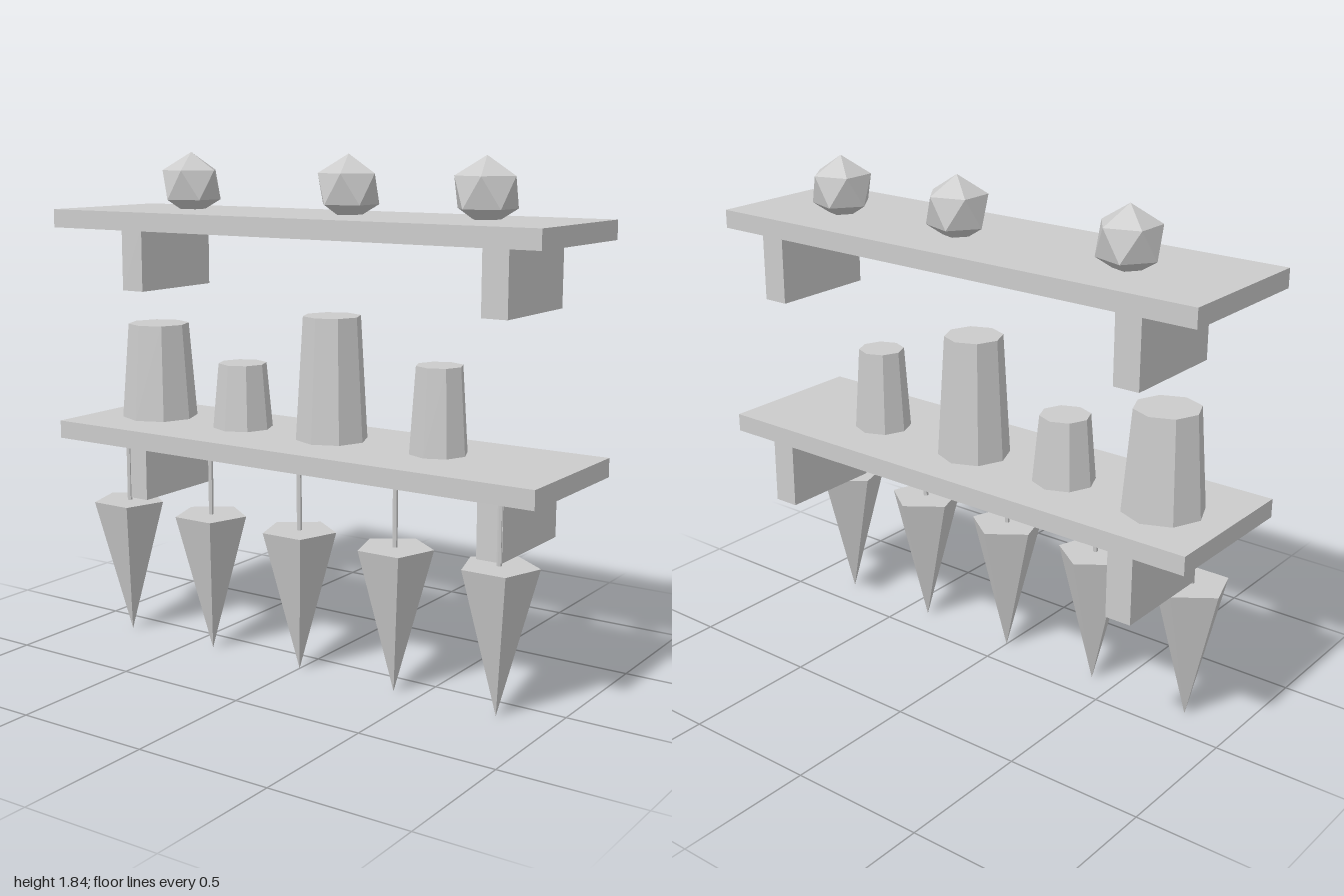
import * as THREE from 'three';

export function createModel() {
  const root = new THREE.Group();
  const material = new THREE.MeshStandardMaterial({ color: 0xcccccc, flatShading: true });

  const add = (name, geometry, x, y, z) => {
    const mesh = new THREE.Mesh(geometry, material);
    mesh.name = name;
    mesh.position.set(x, y, z);
    root.add(mesh);
    return mesh;
  };

  // Two shelves, each with a pair of wall brackets flush with the back edge
  const thickness = 0.067;
  for (const [name, top] of [['lower', 0.834], ['upper', 1.634]]) {
    add(`${name}Shelf`, new THREE.BoxGeometry(2, thickness, 0.56), 0, top - thickness / 2, 0);
    for (const side of [-1, 1]) {
      add(`${name}Bracket`, new THREE.BoxGeometry(0.096, 0.238, 0.4),
        side * 0.762, top - thickness - 0.119, -0.08);
    }
  }

  // Tapered jars on the lower shelf: x, bottom radius, height
  const jars = [[-0.757, 0.144, 0.361], [-0.354, 0.112, 0.241], [0.045, 0.131, 0.444], [0.485, 0.104, 0.305]];
  for (const [x, radius, height] of jars) {
    add('jar', new THREE.CylinderGeometry(radius * 0.8, radius, height, 8), x, 0.834 + height / 2, -0.02);
  }

  // Faceted balls on the upper shelf, one corner pointing up and the base sunk into the board
  for (const x of [-0.6, 0.1, 0.64]) {
    const ball = add('ball', new THREE.IcosahedronGeometry(0.12, 0), x, 1.723, -0.04);
    ball.rotation.z = -0.553;
  }

  // Hanging bundles: five-sided points on thin stems along the front
  for (let i = -2; i <= 2; i++) {
    const x = i * 0.4;
    const bundle = add('hangingBundle', new THREE.ConeGeometry(0.137, 0.52, 5), x, 0.26, 0.12);
    bundle.rotation.x = Math.PI;
    add('stem', new THREE.CylinderGeometry(0.009, 0.009, 0.205, 6), x, 0.6225, 0.12);
  }

  return root;
}
